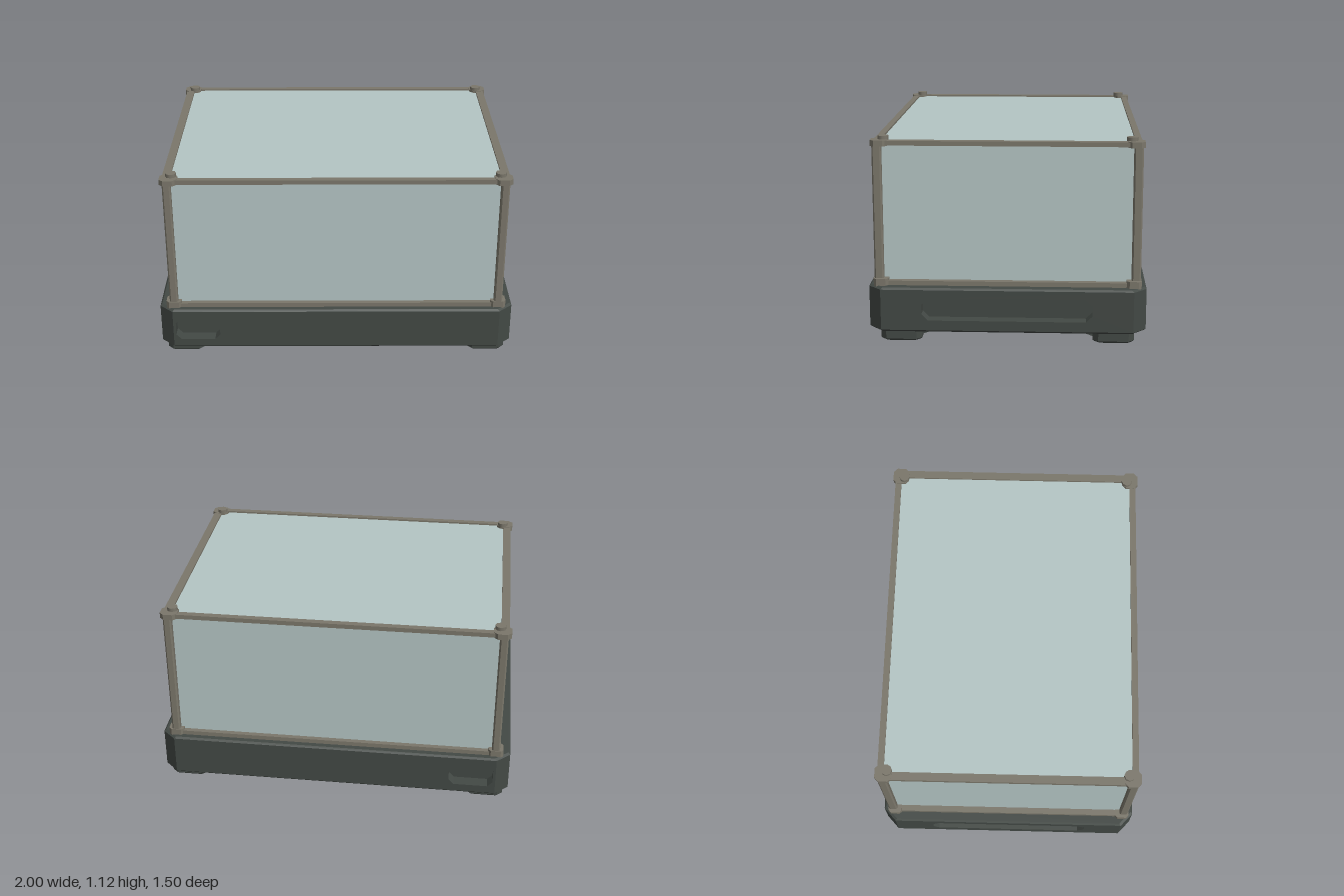
import * as THREE from 'three';
import { ConvexGeometry } from 'three/addons/geometries/ConvexGeometry.js';

// Corner points of a chamfered rectangle lying at height y
function ring(hx, hz, c, y, cx = 0, cz = 0, d = c) {
  const pts = [];
  for (const sx of [-1, 1]) for (const sz of [-1, 1]) {
    pts.push(new THREE.Vector3(cx + sx * (hx - c), y, cz + sz * hz));
    pts.push(new THREE.Vector3(cx + sx * hx, y, cz + sz * (hz - d)));
  }
  return pts;
}
const hull = (...rings) => new ConvexGeometry(rings.flat());

// Outline of a rectangle with cut corners
function cutRect(path, x0, x1, y0, y1, c) {
  path.moveTo(x0 + c, y0);
  for (const [x, y] of [[x1 - c, y0], [x1, y0 + c], [x1, y1 - c], [x1 - c, y1],
    [x0 + c, y1], [x0, y1 - c], [x0, y0 + c]]) path.lineTo(x, y);
  path.closePath();
  return path;
}

export function createModel() {
  const root = new THREE.Group();
  root.name = 'glassCase';
  const dark = new THREE.MeshStandardMaterial({ color: 0x434945 });
  dark.name = 'dark base';
  const metal = new THREE.MeshStandardMaterial({ color: 0x7b776b });
  metal.name = 'frame metal';
  const glass = new THREE.MeshStandardMaterial({ color: 0xb5c6c5 });
  glass.name = 'pale glass';

  function add(parent, name, geometry, material, x = 0, y = 0, z = 0) {
    const mesh = new THREE.Mesh(geometry, material);
    mesh.name = name;
    mesh.position.set(x, y, z);
    parent.add(mesh);
    return mesh;
  }

  // Base: bevelled rims, inner core, and walls pierced by hand recesses
  const base = new THREE.Group();
  base.name = 'base';
  root.add(base);
  const lo = 0.07, hi = 0.295, depth = 0.07;
  add(base, 'bottomRim', hull(ring(0.99, 0.74, 0.075, 0.06, 0, 0, 0.07),
    ring(1, 0.75, 0.075, lo, 0, 0, 0.07)), dark);
  add(base, 'topRim', hull(ring(1, 0.75, 0.075, hi, 0, 0, 0.07),
    ring(0.99, 0.74, 0.075, 0.305, 0, 0, 0.07)), dark);
  add(base, 'core', new THREE.BoxGeometry(1.86, hi - lo, 1.36), dark, 0, (lo + hi) / 2, 0);

  function wall(name, half, distance, angle, hole) {
    const shape = new THREE.Shape();
    shape.moveTo(-half, lo);
    shape.lineTo(half, lo);
    shape.lineTo(half, hi);
    shape.lineTo(-half, hi);
    shape.closePath();
    shape.holes.push(cutRect(new THREE.Path(), ...hole));
    const geometry = new THREE.ExtrudeGeometry(shape, { depth, bevelEnabled: false });
    geometry.translate(0, 0, distance - depth);
    add(base, name, geometry, dark).rotation.y = angle;
  }
  wall('frontWall', 0.925, 0.75, 0, [-0.91, -0.66, 0.115, 0.25, 0.03]);
  wall('backWall', 0.925, 0.75, Math.PI, [0.66, 0.91, 0.115, 0.25, 0.03]);
  for (const s of [-1, 1])
    wall(s > 0 ? 'leftWall' : 'rightWall', 0.68, 1, s * Math.PI / 2, [-0.46, 0.46, 0.125, 0.25, 0.035]);

  // Glass box
  add(root, 'glass', new THREE.BoxGeometry(1.82, 0.78, 1.37), glass, 0, 0.695, 0);

  // Top and bottom rails
  for (const [y, h, level] of [[1.0825, 0.025, 'top'], [0.317, 0.026, 'bottom']]) {
    for (const s of [-1, 1]) {
      add(root, level + 'LongRail', new THREE.BoxGeometry(1.8, h, 0.035), metal, 0, y, s * 0.695);
      add(root, level + 'ShortRail', new THREE.BoxGeometry(0.045, h, 1.35), metal, s * 0.922, y, 0);
    }
  }

  // Everything that repeats at the four corners
  for (const sx of [-1, 1]) for (const sz of [-1, 1]) {
    const corner = new THREE.Group();
    corner.name = 'corner';
    root.add(corner);

    // Chamfered end of the base walls
    const prism = [lo, hi].flatMap(y => [[0.925, 0.75], [1, 0.68], [0.925, 0.68]]
      .map(([x, z]) => new THREE.Vector3(sx * x, y, sz * z)));
    add(corner, 'baseCorner', new ConvexGeometry(prism), dark);

    // Post with a bracket at each end and a bolt on top
    const px = sx * 0.917, pz = sz * 0.693;
    add(corner, 'post', hull(ring(0.023, 0.025, 0.008, 0.305, px, pz),
      ring(0.023, 0.025, 0.008, 1.08, px, pz)), metal);
    add(corner, 'lowerBracket', hull(ring(0.043, 0.04, 0.015, 0.3, px, sz * 0.682),
      ring(0.043, 0.04, 0.015, 0.342, px, sz * 0.682)), metal);
    add(corner, 'upperBracket', hull(ring(0.048, 0.046, 0.022, 1.066, sx * 0.908, sz * 0.68),
      ring(0.048, 0.046, 0.022, 1.098, sx * 0.908, sz * 0.68)), metal);
    add(corner, 'bolt', new THREE.CylinderGeometry(0.03, 0.03, 0.025, 8), metal,
      sx * 0.895, 1.105, sz * 0.66);

    // Foot block with sloping ribs on its two inner sides
    const fx = sx * 0.865, fz = sz * 0.575;
    add(corner, 'foot', hull(ring(0.098, 0.103, 0.03, 0, fx, fz), ring(0.107, 0.112, 0.03, 0.01, fx, fz),
      ring(0.107, 0.112, 0.03, 0.065, fx, fz)), dark);
    const rib = pts => new ConvexGeometry(pts.map(([x, y, z]) => new THREE.Vector3(sx * x, y, sz * z)));
    add(corner, 'footRibX', rib([0.495, 0.655].flatMap(z =>
      [[0.77, 0.025, z], [0.77, 0.062, z], [0.68, 0.062, z]])), dark);
    add(corner, 'footRibZ', rib([0.79, 0.94].flatMap(x =>
      [[x, 0.025, 0.475], [x, 0.062, 0.475], [x, 0.062, 0.37]])), dark);
  }
  return root;
}
